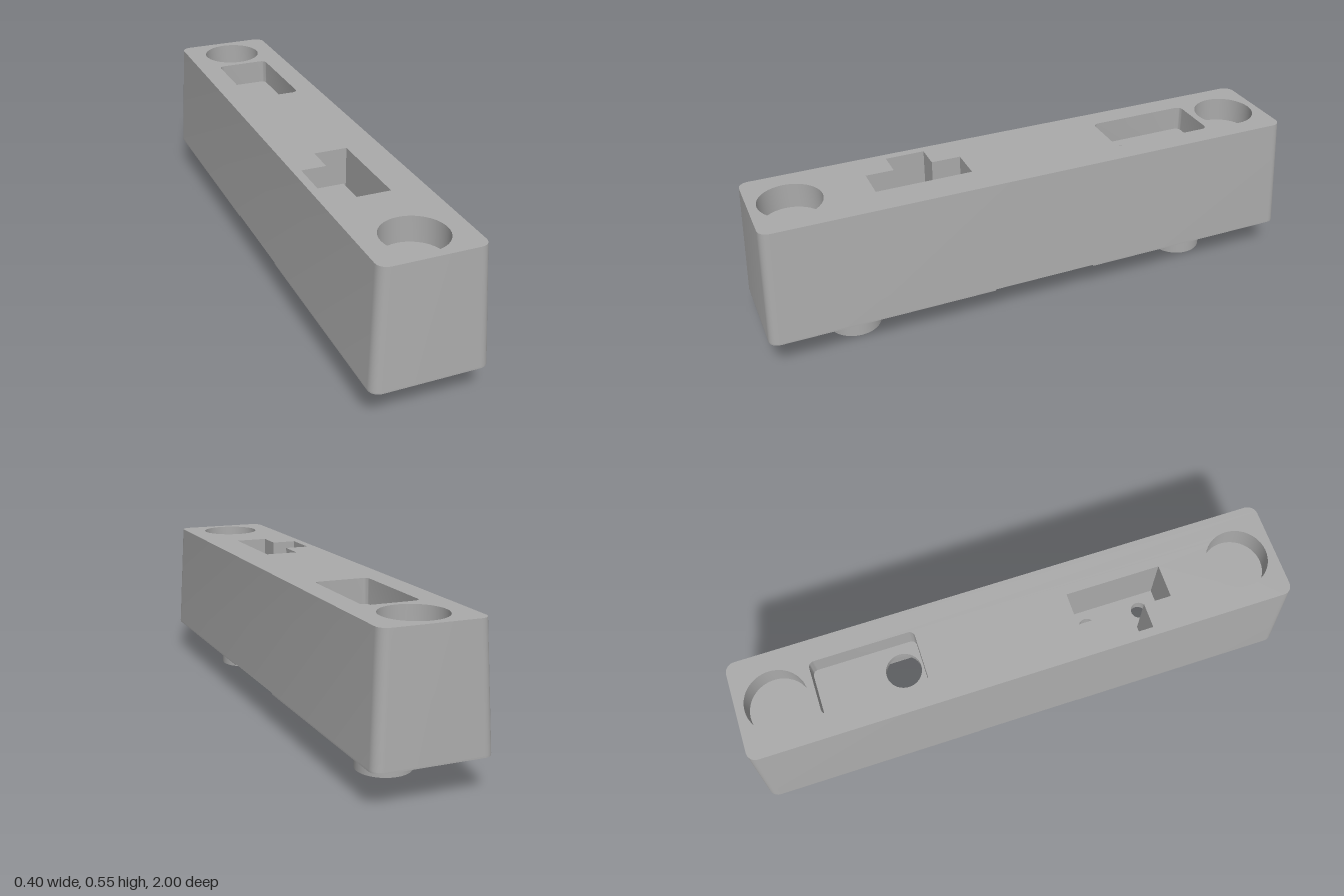
import * as THREE from 'three';
import { mergeGeometries, toCreasedNormals } from 'three/addons/utils/BufferGeometryUtils.js';

const TOP = 0.545, POCKET = 0.455, CEILING = 0.43, RIM = 0.13, BASE = 0.125;
const WELL_FLOOR = 0.33, WELL_BASE = 0.29;

// Outlines are counter-clockwise lists of (x, -z) points seen from above.
function roundedRect(hx, hz, r, zc = 0) {
  const pts = [], n = 6;
  [[1, 1], [-1, 1], [-1, -1], [1, -1]].forEach(([sx, sy], k) => {
    for (let i = 0; i <= n; i++) {
      const a = (k + i / n) * Math.PI / 2;
      pts.push(new THREE.Vector2(sx * (hx - r) + r * Math.cos(a), sy * (hz - r) + r * Math.sin(a) - zc));
    }
  });
  return pts;
}
function circle(r, zc = 0, n = 40) {
  return Array.from({ length: n }, (_, i) => {
    const a = i / n * Math.PI * 2;
    return new THREE.Vector2(r * Math.cos(a), r * Math.sin(a) - zc);
  });
}
function polygon(xz) {
  const pts = xz.map(([x, z]) => new THREE.Vector2(x, -z));
  return THREE.ShapeUtils.isClockWise(pts) ? pts.reverse() : pts;
}
function shapeOf(outline, holes = []) {
  const s = new THREE.Shape(outline);
  s.holes = holes.map(h => new THREE.Path(h));
  return s;
}

// Strip of quads joining a low outline to a high one
function wall(low, y0, high, y1, inward = false) {
  const pos = [], n = low.length;
  for (let i = 0; i < n; i++) {
    const j = (i + 1) % n;
    const a = [low[i].x, y0, -low[i].y], b = [low[j].x, y0, -low[j].y];
    const c = [high[j].x, y1, -high[j].y], d = [high[i].x, y1, -high[i].y];
    pos.push(...(inward ? [a, c, b, a, d, c] : [a, b, c, a, c, d]).flat());
  }
  const g = new THREE.BufferGeometry();
  g.setAttribute('position', new THREE.Float32BufferAttribute(pos, 3));
  return g;
}
// Flat face with holes, looking up or down
function cap(outline, holes, y, down = false) {
  const g = new THREE.ShapeGeometry(shapeOf(outline, holes));
  g.rotateX(-Math.PI / 2).translate(0, y, 0);
  if (down) g.index.array.reverse();
  const flat = g.toNonIndexed();
  flat.deleteAttribute('uv');
  flat.deleteAttribute('normal');
  return flat;
}
function extrude(shape, y0, y1) {
  const g = new THREE.ExtrudeGeometry(shape, { depth: y1 - y0, bevelEnabled: false });
  return g.rotateX(-Math.PI / 2).translate(0, y0, 0);
}

export function createModel() {
  const group = new THREE.Group();
  const grey = new THREE.MeshStandardMaterial({ color: 0xaaaaaa });
  grey.name = 'grey plastic';
  const add = (name, ...geos) => {
    const g = geos.length > 1 ? mergeGeometries(geos) : geos[0];
    const mesh = new THREE.Mesh(toCreasedNormals(g, 0.6), grey);
    mesh.name = name;
    group.add(mesh);
  };

  // Stepped slot outline, grown by d for its surrounding well
  const slotOutline = d => polygon([
    [0.06 + d, 0.22 - d], [0.06 + d, 0.565 + d], [-0.06 - d, 0.565 + d], [-0.06 - d, 0.465 + d],
    [-0.15 - d, 0.465 + d], [-0.15 - d, 0.325 - d], [-0.06 - d, 0.325 - d], [-0.06 - d, 0.22 - d],
  ]);
  const slot = slotOutline(0), well = slotOutline(0.02);
  const pocket = roundedRect(0.098, 0.188, 0.02, -0.517);
  const pinHole = circle(0.063, -0.4);
  const screwHoles = [circle(0.03, 0.29, 24), circle(0.03, 0.495, 24)];
  const recesses = [circle(0.11, 0.84), circle(0.11, -0.84)];

  // Tapered hollow housing
  const outerLow = roundedRect(0.2, 1, 0.035), outerHigh = roundedRect(0.18, 0.98, 0.035);
  const innerLow = roundedRect(0.163, 0.963, 0.015), innerHigh = roundedRect(0.15, 0.95, 0.015);
  add('housingOuter', wall(outerLow, RIM, outerHigh, TOP));
  add('housingInner', wall(innerLow, RIM, innerHigh, CEILING, true));
  add('housingRim', cap(outerLow, [innerLow], RIM, true));
  add('housingTop', cap(outerHigh, [slot, pocket, ...recesses], TOP));
  add('housingCeiling', cap(roundedRect(0.175, 0.97, 0.02), [well, pinHole], CEILING, true));

  // Raised rim at both ends, leaving a shallow gap along the middle of each side
  for (const s of [1, -1]) {
    const ends = outerLow.filter(p => p.y * s > 0);
    const inside = innerLow.filter(p => p.y * s > 0);
    const y = 0.195 * s, first = s > 0 ? 1 : -1;
    const outline = [new THREE.Vector2(0.2 * first, y), ...ends, new THREE.Vector2(-0.2 * first, y),
      new THREE.Vector2(-0.163 * first, y), ...inside.reverse(), new THREE.Vector2(0.163 * first, y)];
    add(s > 0 ? 'backRim' : 'frontRim', extrude(shapeOf(outline), BASE, RIM));
  }

  // Round recesses in the top
  recesses.forEach((r, i) => add(i ? 'backRecess' : 'frontRecess',
    wall(r, POCKET, r, TOP, true), cap(r, [], POCKET)));

  // Rectangular pocket with a hole through its floor
  add('pocket', wall(pocket, POCKET, pocket, TOP, true), cap(pocket, [pinHole], POCKET),
    wall(pinHole, CEILING, pinHole, POCKET, true));

  // Deep stepped slot with two small holes, in a well hanging inside
  add('slot', wall(slot, WELL_FLOOR, slot, TOP, true), cap(slot, screwHoles, WELL_FLOOR),
    ...screwHoles.map(h => wall(h, WELL_BASE, h, WELL_FLOOR, true)));
  add('slotWell', wall(well, WELL_BASE, well, CEILING), cap(well, screwHoles, WELL_BASE, true));

  // Round posts with a cross-shaped socket
  const w = 0.02, e = 0.068;
  const cross = polygon([[w, e], [w, w], [e, w], [e, -w], [w, -w], [w, -e],
    [-w, -e], [-w, -w], [-e, -w], [-e, w], [-w, w], [-w, e]]);
  [['frontPost', 0.667, 0], ['middlePost', 0, 0.145], ['backPost', -0.667, 0]].forEach(([name, z, y]) => {
    add(name, extrude(shapeOf(circle(0.096), [cross]), y, CEILING + 0.01).translate(0, 0, z));
  });
  return group;
}
